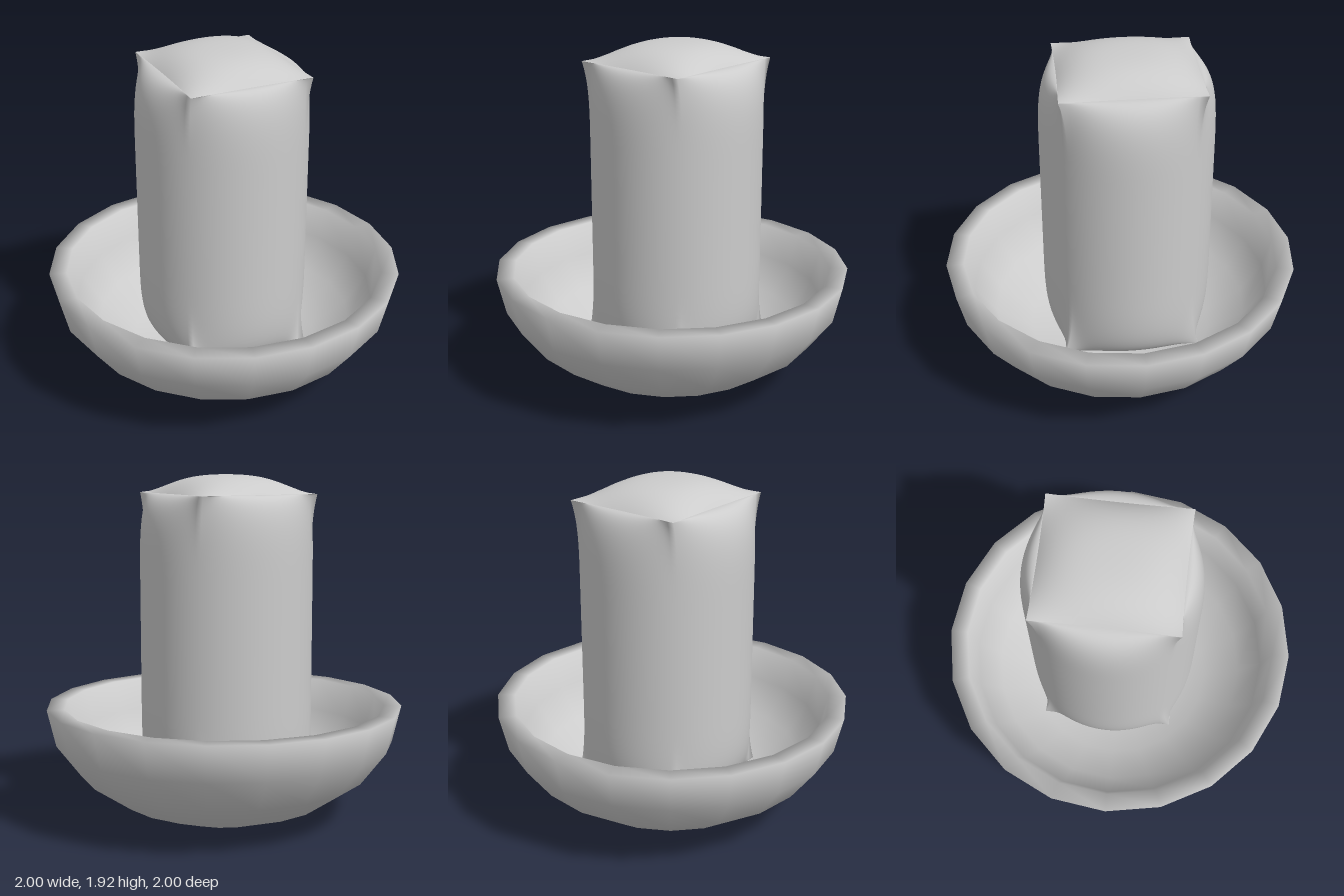
import * as THREE from 'three';
import { ParametricGeometry } from 'three/addons/geometries/ParametricGeometry.js';

const material = new THREE.MeshStandardMaterial({ color: 0xcccccc });

// Column measurements
const HALF_X = 0.381, HALF_Z = 0.345; // pinched square end
const RADIUS = 0.477;                 // round middle
const TOP = 1.82, BOTTOM = 0.21, DOME = 0.102, BLEND = 0.5;

function addMesh(parent, name, geometry) {
  const mesh = new THREE.Mesh(geometry, material);
  mesh.name = name;
  parent.add(mesh);
}

// Maps square coordinates (-1..1) to the pinched end, its edges bowed slightly inward
function endPoint(a, b) {
  return [
    a * HALF_X * (1 - 0.02 * (1 - b * b)),
    b * HALF_Z * (1 - 0.02 * (1 - a * a)),
  ];
}

// Domed pillow end; direction is 1 for the top and -1 for the bottom
function endCap(direction) {
  return new ParametricGeometry((u, v, target) => {
    const p = Math.tan((u - 0.5) * Math.PI / 2);
    const q = Math.tan((v - 0.5) * Math.PI / 2);
    const [a, b] = direction > 0 ? [q, p] : [p, q];
    const [x, z] = endPoint(a, b);
    const f = (1 - a * a) * (1 - b * b);
    const rise = DOME * f * (1.65 - 0.65 * f);
    target.set(x, (direction > 0 ? TOP : BOTTOM) + direction * rise, z);
  }, 24, 24);
}

// Wall that swells into a round middle, fast along the edges and slowly at the corners
function columnWall() {
  return new ParametricGeometry((u, v, target) => {
    const angle = u * Math.PI * 2;
    const c = Math.cos(angle), s = Math.sin(angle);
    const m = Math.max(Math.abs(c), Math.abs(s));
    const [x, z] = endPoint(c / m, s / m);
    // rows crowd towards both ends
    const t = v - 0.9 * Math.sin(2 * Math.PI * v) / (2 * Math.PI);
    const y = TOP + (BOTTOM - TOP) * t;
    const near = Math.min(1, Math.max(0, Math.min(TOP - y, y - BOTTOM) / BLEND));
    const corner = Math.pow(Math.min(Math.abs(c), Math.abs(s)) / m, 6);
    const round = Math.pow(1 - Math.pow(1 - near, 4), 0.45 + 0.55 * corner);
    target.set(
      x + (RADIUS * c - x) * round,
      y,
      z + (RADIUS * s - z) * round,
    );
  }, 96, 48);
}

export function createModel() {
  const model = new THREE.Group();
  model.name = 'bowlWithColumn';

  // Bowl: outside from base to the broad rim, then the inside back to the middle
  const profile = [
    [0, 0], [0.31, 0], [0.59, 0.1], [0.81, 0.25], [0.95, 0.435], [0.998, 0.64],
    [0.9, 0.64], [0.85, 0.46], [0.73, 0.29], [0.53, 0.15], [0.28, 0.07], [0, 0.06],
  ].map(([r, y]) => new THREE.Vector2(r, y));
  addMesh(model, 'bowl', new THREE.LatheGeometry(profile, 20));

  // Column, slightly off centre and turned
  const column = new THREE.Group();
  column.name = 'column';
  column.position.set(-0.032, 0, -0.016);
  column.rotation.y = THREE.MathUtils.degToRad(-20);
  addMesh(column, 'columnWall', columnWall());
  addMesh(column, 'columnTop', endCap(1));
  addMesh(column, 'columnBottom', endCap(-1));
  model.add(column);

  return model;
}
